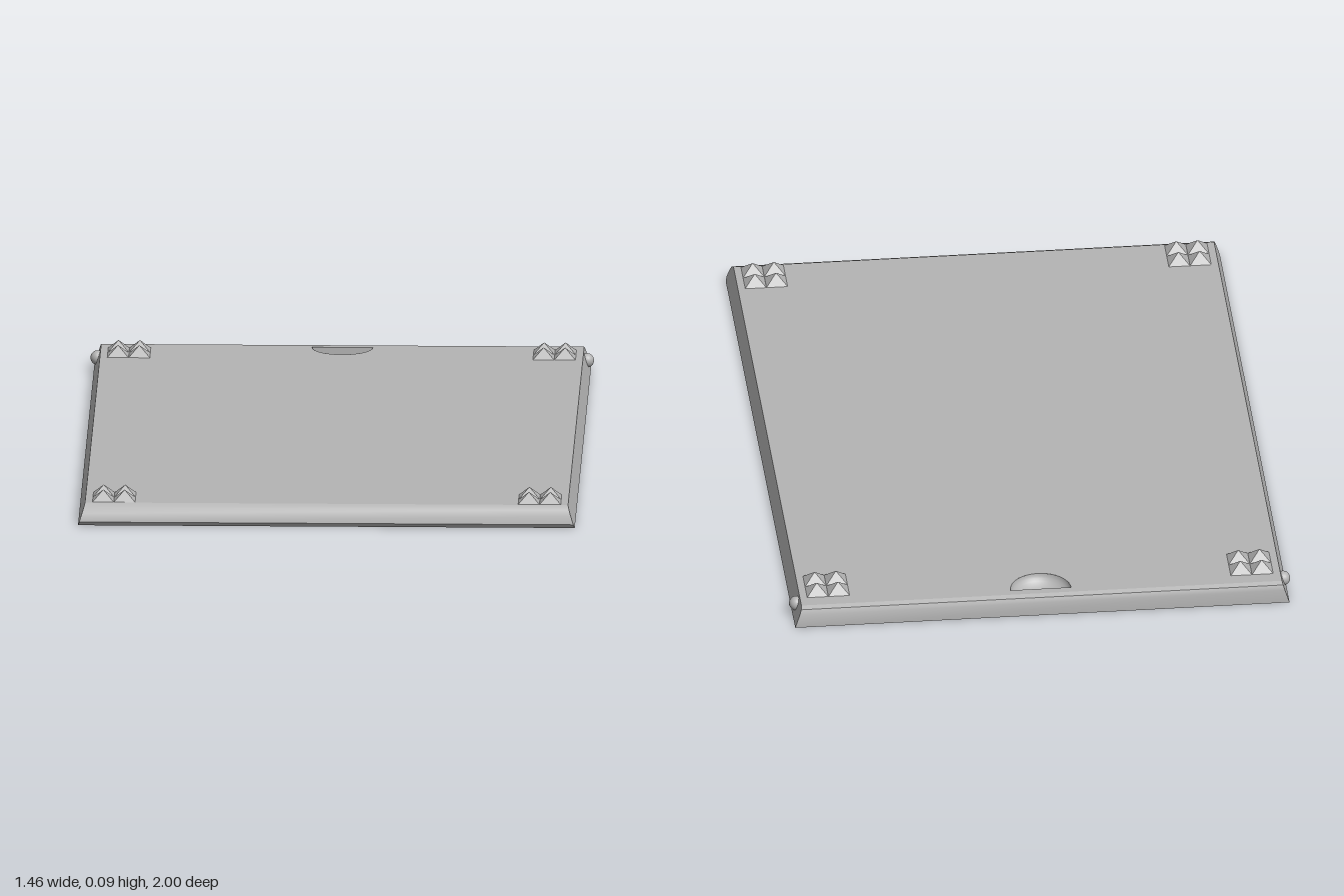
import * as THREE from 'three';
import { mergeGeometries, toCreasedNormals } from 'three/addons/utils/BufferGeometryUtils.js';

const TOP = 0.062;
const halfWidth = (y) => 0.72 - 0.02 * (y / TOP);

// Drop the triangles lying flat at height y
function openAt(geo, y) {
  const src = geo.index ? geo.toNonIndexed() : geo;
  const p = src.attributes.position;
  const kept = [];
  for (let i = 0; i < p.count; i += 3) {
    if ([0, 1, 2].every((k) => Math.abs(p.getY(i + k) - y) < 1e-5)) continue;
    for (let k = 0; k < 3; k++) kept.push(p.getX(i + k), p.getY(i + k), p.getZ(i + k));
  }
  const out = new THREE.BufferGeometry();
  out.setAttribute('position', new THREE.Float32BufferAttribute(kept, 3));
  out.computeVertexNormals();
  return out;
}

// Clip a convex polygon to the rectangle |x| <= w, |y| <= h
function clip(points, w, h) {
  for (const [axis, sign, limit] of [['x', 1, w], ['x', -1, w], ['y', 1, h], ['y', -1, h]]) {
    const out = [];
    points.forEach((a, i) => {
      const b = points[(i + 1) % points.length];
      const da = limit - sign * a[axis];
      const db = limit - sign * b[axis];
      if (da >= 0) out.push(a);
      if (da * db < 0) out.push(a.clone().lerp(b, da / (da - db)));
    });
    points = out;
  }
  return points;
}

function rectangle(w, y0, y1) {
  return new THREE.Shape([[-w, y0], [w, y0], [w, y1], [-w, y1]].map(([x, y]) => new THREE.Vector2(x, y)));
}

// Honeycomb outlines, trimmed to a rectangular field
function honeycomb() {
  const pitch = 0.16, radius = 0.075, w = 0.56, h = 0.83;
  const cells = [];
  for (let c = -5; c <= 5; c++) {
    for (let r = -6; r <= 6; r++) {
      const cx = c * pitch * Math.sqrt(3) / 2;
      const cy = (r + (c % 2 ? 0.5 : 0)) * pitch;
      const hex = [];
      for (let k = 0; k < 6; k++) {
        const a = k * Math.PI / 3;
        hex.push(new THREE.Vector2(cx + radius * Math.cos(a), cy + radius * Math.sin(a)));
      }
      const cell = clip(hex, w, h);
      if (cell.length > 2 && Math.abs(THREE.ShapeUtils.area(cell)) > 0.0008) cells.push(cell);
    }
  }
  return cells;
}

export function createModel() {
  const model = new THREE.Group();
  const grey = new THREE.MeshStandardMaterial({ color: 0xb4b4b4, side: THREE.DoubleSide });
  grey.name = 'grey plastic';
  const add = (name, geo, x = 0, y = 0, z = 0) => {
    const mesh = new THREE.Mesh(geo, grey);
    mesh.name = name;
    mesh.position.set(x, y, z);
    model.add(mesh);
    return mesh;
  };

  // Rim: side profile swept across the width, sides leaning inward
  const profile = [[-1, 0], [0.99, 0], [1, 0.012], [0.995, 0.036], [0.985, 0.052], [0.965, TOP],
    [-0.98, TOP], [-0.994, 0.056], [-1, 0.042]];
  let rim = new THREE.ExtrudeGeometry(
    new THREE.Shape(profile.map(([z, y]) => new THREE.Vector2(z, y))), { depth: 1, bevelEnabled: false });
  rim.rotateY(-Math.PI / 2).translate(0.5, 0, 0);
  const pos = rim.attributes.position;
  for (let i = 0; i < pos.count; i++) pos.setX(i, pos.getX(i) * 2 * halfWidth(pos.getY(i)));
  rim = openAt(openAt(rim, 0), TOP);
  add('rim', toCreasedNormals(rim, 0.7));

  // Top panel with a half-round opening for the finger scoop
  const scoopR = 0.088, scoopZ = -0.955, scoopDepth = 0.045;
  const panel = rectangle(halfWidth(TOP), -0.965, 0.98);
  const opening = new THREE.Path();
  opening.absarc(0, -scoopZ, scoopR, Math.PI, 2 * Math.PI, false);
  opening.closePath();
  panel.holes.push(opening);
  add('topPanel', new THREE.ShapeGeometry(panel, 24).rotateX(-Math.PI / 2), 0, TOP, 0);

  // Finger scoop: inward-facing quarter bowl and its flat back wall
  const bowl = new THREE.SphereGeometry(scoopR, 24, 10, 0, Math.PI, 0, Math.PI / 2);
  bowl.scale(1, -scoopDepth / scoopR, 1);
  bowl.computeVertexNormals();
  add('fingerScoop', bowl, 0, TOP, scoopZ);
  const wall = new THREE.Shape();
  wall.absellipse(0, 0, scoopR, scoopDepth, Math.PI, 2 * Math.PI, false, 0);
  add('fingerScoopWall', new THREE.ShapeGeometry(wall, 24), 0, TOP, scoopZ);

  // Underside with honeycomb pockets
  const cells = honeycomb();
  const underside = rectangle(halfWidth(0), -1, 0.99);
  cells.forEach((cell) => underside.holes.push(new THREE.Path(cell)));
  add('underside', new THREE.ShapeGeometry(underside).rotateX(Math.PI / 2));
  const pockets = cells.map((cell) => {
    const geo = new THREE.ExtrudeGeometry(new THREE.Shape(cell), { depth: 0.045, bevelEnabled: false });
    geo.rotateX(Math.PI / 2).scale(1, -1, 1);
    return openAt(geo, 0);
  });
  add('honeycombPockets', mergeGeometries(pockets));

  // Two-by-two pyramid studs at every corner
  const stud = new THREE.ConeGeometry(0.0435, 0.03, 4, 1, true).rotateY(Math.PI / 4).toNonIndexed();
  stud.computeVertexNormals();
  for (const side of [-1, 1]) {
    for (const x of [0.586, 0.648]) {
      for (const z of [-0.906, -0.844, 0.868, 0.93]) add('gripStud', stud, side * x, TOP + 0.015, z);
    }
    // Round catch on the side
    add('sideCatch', new THREE.SphereGeometry(0.021, 20, 14), side * 0.709, 0.036, -0.92);
  }
  return model;
}
